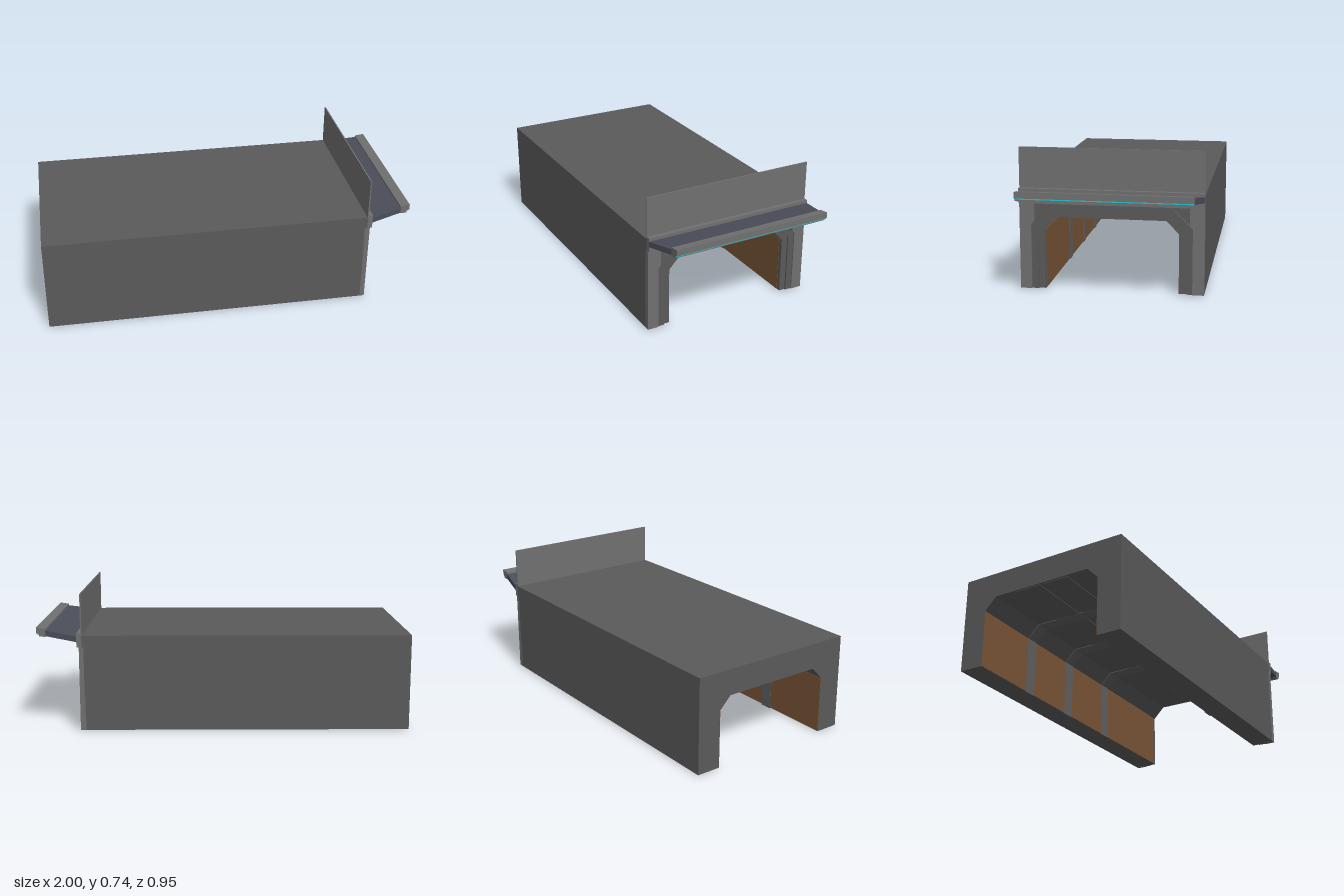
import * as THREE from 'three';

const mat = (color) => new THREE.MeshStandardMaterial({ color, flatShading: true });

export function createModel() {
  const model = new THREE.Group();
  const dark = mat(0x5a5a5a), light = mat(0x707070), blue = mat(0x4b4e59);
  const brown = mat(0x7a5537), cyan = mat(0x20c4d4), rib = mat(0x606060);

  const add = (name, geometry, material) => {
    const mesh = new THREE.Mesh(geometry, material);
    mesh.name = name;
    model.add(mesh);
    return mesh;
  };
  const box = (name, material, x0, x1, y0, y1, z0, z1) => {
    const g = new THREE.BoxGeometry(x1 - x0, y1 - y0, z1 - z0);
    g.translate((x0 + x1) / 2, (y0 + y1) / 2, (z0 + z1) / 2);
    return add(name, g, material);
  };
  // Extrude a (z, y) outline along x
  const alongX = (name, material, points, x0, x1) => {
    const shape = new THREE.Shape(points.map(([z, y]) => new THREE.Vector2(-z, y)));
    const g = new THREE.ExtrudeGeometry(shape, { depth: x1 - x0, bevelEnabled: false });
    g.rotateY(Math.PI / 2).translate(x0, 0, 0);
    return add(name, g, material);
  };
  // Chamfered arch line from one foot to the other
  const arch = (w, shoulder, topW, top, foot = 0.004) => [
    [w, foot], [w, shoulder], [topW, top], [-topW, top], [-w, shoulder], [-w, foot]];
  const ring = (outer, inner) => [...outer, ...[...inner].reverse()];

  const bore = arch(0.345, 0.315, 0.28, 0.382);
  const middle = arch(0.38, 0.325, 0.285, 0.42);
  const outside = arch(0.415, 0.345, 0.30, 0.456);

  // Tunnel block
  alongX('tunnelBody', dark, ring(
    [[0.475, 0.004], [0.475, 0.52], [-0.475, 0.52], [-0.475, 0.004]], bore), -1, 0.745);

  // Stepped portal
  alongX('portalOuterStep', dark, ring(outside, middle), 0.74, 0.764);
  alongX('portalInnerStep', dark, ring(middle, bore), 0.74, 0.756);
  for (const s of [1, -1]) {
    alongX(s > 0 ? 'portalPillarFront' : 'portalPillarBack', light,
      [[0.475, 0.004], [0.415, 0.004], [0.415, 0.345], [0.40, 0.36], [0.40, 0.456], [0.475, 0.456]]
        .map(([z, y]) => [z * s, y]), 0.74, 0.77);
  }
  box('lintel', light, 0.755, 0.782, 0.456, 0.533, -0.475, 0.475);
  box('lintelBacking', dark, 0.74, 0.756, 0.456, 0.52, -0.475, 0.475);
  box('parapetPanel', light, 0.753, 0.76, 0.515, 0.743, -0.475, 0.475);

  // Inside ribs
  const ribInner = arch(0.341, 0.314, 0.278, 0.378, 0);
  for (const x of [0.11, -0.27, -0.63]) {
    alongX('tunnelRib', rib, ring(bore, ribInner), x, x + 0.072);
  }

  // Wall panels between the ribs
  const bays = [[0.182, 0.735], [-0.198, 0.11], [-0.558, -0.27], [-1, -0.63]];
  for (const [x0, x1] of bays) {
    for (const s of [1, -1]) {
      const z = 0.3445 * s;
      box('wallPanel', brown, x0, x1, 0.005, 0.314, Math.min(z, z - 0.002 * s), Math.max(z, z - 0.002 * s));
    }
  }

  // Ceiling strips
  for (const s of [1, -1]) {
    box('ceilingStrip', dark, -0.99, 0.73, 0.379, 0.383, s * 0.083 - 0.072, s * 0.083 + 0.072);
  }

  // Canopy slab, rising and narrowing outward
  const slab = new THREE.BoxGeometry(1, 0.03, 0.95);
  const p = slab.attributes.position;
  for (let i = 0; i < p.count; i++) {
    const t = p.getX(i) + 0.5;
    p.setXYZ(i, 0.778 + 0.172 * t, p.getY(i) + 0.5 + 0.027 * t, p.getZ(i) * (1 - 0.073 * t));
  }
  slab.computeVertexNormals();
  add('canopySlab', slab, blue);

  // Canopy edge beam with its light strip
  const profile = [[0.944, 0.516], [0.948, 0.552], [0.999, 0.559], [1, 0.527], [0.985, 0.525], [0.985, 0.51], [0.95, 0.508]];
  const beamShape = new THREE.Shape(profile.map(([x, y]) => new THREE.Vector2(x, y)));
  const beam = new THREE.ExtrudeGeometry(beamShape, { depth: 0.88, bevelEnabled: false });
  beam.translate(0, 0, -0.44);
  add('canopyEdgeBeam', beam, light);
  box('lightStrip', cyan, 0.983, 0.994, 0.52, 0.527, -0.439, 0.439);

  return model;
}
